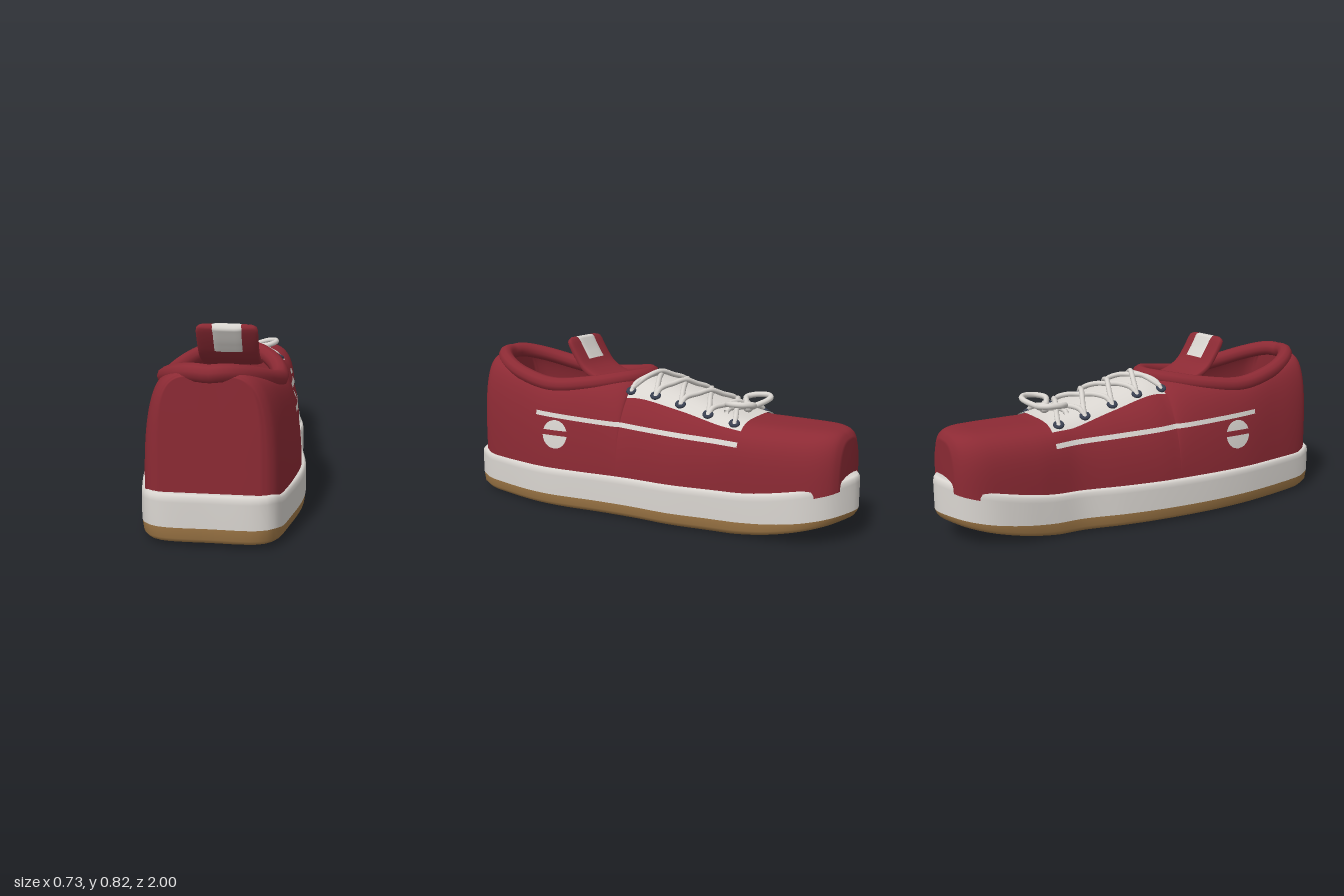
import * as THREE from 'three';
import { mergeGeometries, mergeVertices } from 'three/addons/utils/BufferGeometryUtils.js';

const material = (name, color) => new THREE.MeshStandardMaterial({ name, color, side: THREE.DoubleSide });

// Grid surface from f(u, v) -> [x, y, z], u and v in 0..1
function grid(nu, nv, f, flip = false) {
  const pos = [], idx = [];
  for (let i = 0; i <= nu; i++) for (let j = 0; j <= nv; j++) pos.push(...f(i / nu, j / nv));
  for (let i = 0; i < nu; i++) for (let j = 0; j < nv; j++) {
    const a = i * (nv + 1) + j, b = a + nv + 1;
    if (flip) idx.push(a, a + 1, b, b, a + 1, b + 1);
    else idx.push(a, b, a + 1, b, b + 1, a + 1);
  }
  const g = new THREE.BufferGeometry();
  g.setAttribute('position', new THREE.Float32BufferAttribute(pos, 3));
  g.setIndex(idx);
  return g;
}

// Join pieces and share coincident points for smooth normals
function weld(...parts) {
  const g = mergeVertices(mergeGeometries(parts), 1e-5);
  g.computeVertexNormals();
  return g;
}

// Upper, toe to heel: z, width at -x, width at +x, top height, squareness
const UPPER = [
  [-0.955, 0.12, 0.12, 0.45, 3], [-0.935, 0.16, 0.16, 0.482, 3.2], [-0.88, 0.2, 0.2, 0.498, 3.5],
  [-0.8, 0.222, 0.222, 0.5, 3.8], [-0.6, 0.243, 0.243, 0.5, 4], [-0.5, 0.245, 0.245, 0.503, 4],
  [-0.4, 0.25, 0.258, 0.53, 3.2], [-0.2, 0.295, 0.29, 0.585, 2.6], [0, 0.328, 0.295, 0.635, 2.4],
  [0.1, 0.335, 0.302, 0.645, 2.2], [0.3, 0.343, 0.325, 0.615, 2], [0.5, 0.338, 0.338, 0.597, 2],
  [0.7, 0.31, 0.315, 0.632, 2.1], [0.85, 0.285, 0.285, 0.675, 2.6], [0.92, 0.262, 0.262, 0.697, 3],
  [0.95, 0.235, 0.235, 0.703, 3.5], [0.965, 0.2, 0.2, 0.69, 5],
];

// Smooth lookup in the table
function look(z, col) {
  const n = UPPER.length;
  let i = 0;
  while (i < n - 2 && UPPER[i + 1][0] < z) i++;
  const slope = k => {
    const a = UPPER[Math.max(k - 1, 0)], b = UPPER[Math.min(k + 1, n - 1)];
    return (b[col] - a[col]) / (b[0] - a[0]);
  };
  const A = UPPER[i], B = UPPER[i + 1], h = B[0] - A[0];
  const t = THREE.MathUtils.clamp((z - A[0]) / h, 0, 1), t2 = t * t, t3 = t2 * t;
  return (2 * t3 - 3 * t2 + 1) * A[col] + (t3 - 2 * t2 + t) * h * slope(i)
    + (3 * t2 - 2 * t3) * B[col] + (t3 - t2) * h * slope(i + 1);
}

const MID = 0.525, LEN = 0.43, WID = 0.24; // collar ellipse
const rise = z => Math.pow(Math.max(0, (-0.5 - z) / 0.5), 1.5);
const heelLift = z => THREE.MathUtils.smoothstep(z, 0.88, 0.97);
const soleTop = z => 0.2 + 0.095 * rise(z) + 0.02 * heelLift(z);
const seamY = z => 0.07 + 0.07 * rise(z) + 0.015 * heelLift(z);
const soleBottom = z => 0.095 * rise(z) + 0.008 * heelLift(z);
const baseY = z => soleTop(z) - 0.04;
const openX = z => WID * Math.sqrt(Math.max(0, 1 - ((z - MID) / LEN) ** 2));
const width = (s, z) => look(z, s > 0 ? 2 : 1);

// Point on the upper by angle, by height, or by x on the vamp
function upperPoint(s, z, t) {
  const e = 2 / look(z, 4), xe = openX(z), b = baseY(z);
  const c = Math.max(0, Math.cos(t)) ** e, k = Math.sin(t) ** e;
  return [s * (xe + (width(s, z) - xe) * c), b + (look(z, 3) - b) * k, z];
}
function sidePoint(s, z, y, lift) {
  const p = look(z, 4), k = Math.min(1, (y - baseY(z)) / (look(z, 3) - baseY(z)));
  return [s * (openX(z) + (width(s, z) - openX(z)) * (1 - k ** p) ** (1 / p) + lift), y, z];
}
function vampPoint(x, z, lift) {
  const p = look(z, 4), r = Math.min(1, Math.abs(x) / width(Math.sign(x) || 1, z)), b = baseY(z);
  return [x, b + (look(z, 3) - b) * (1 - r ** p) ** (1 / p) + lift, z];
}

function upperGeometry() {
  const stations = [];
  for (let i = 0; i < 44; i++) stations.push(-0.955 + 1.05 * (i / 44) ** 1.4);
  for (let i = 0; i <= 44; i++) stations.push(MID - LEN * Math.cos(Math.PI * i / 44));
  stations.push(0.96, 0.965);
  const N = stations.length - 1, parts = [];
  for (const s of [1, -1]) {
    parts.push(grid(N, 26, (u, v) => upperPoint(s, stations[Math.round(u * N)], v * Math.PI / 2), s > 0));
    for (const z of [-0.955, 0.965]) {
      parts.push(grid(26, 1, (u, v) => {
        const p = upperPoint(s, z, u * Math.PI / 2);
        return v ? [0, baseY(z), z] : p;
      }, (s > 0) === (z < 0)));
    }
  }
  return weld(...parts);
}

// Sole outline, from the heel along +x to the toe and back along -x
const OUTLINE = [
  [0.2, 0.995], [0.255, 0.965], [0.285, 0.9], [0.31, 0.8], [0.35, 0.6], [0.358, 0.45], [0.33, 0.2], [0.316, 0],
  [0.313, -0.2], [0.283, -0.4], [0.265, -0.55], [0.255, -0.7], [0.225, -0.83], [0.165, -0.92], [0.08, -0.975], [0, -1],
  [-0.08, -0.975], [-0.165, -0.92], [-0.225, -0.83], [-0.255, -0.7], [-0.265, -0.55], [-0.27, -0.4], [-0.318, -0.2],
  [-0.35, 0], [-0.367, 0.25], [-0.362, 0.45], [-0.345, 0.6], [-0.31, 0.8], [-0.285, 0.9], [-0.255, 0.965], [-0.2, 0.995], [0, 1],
];
const outline = new THREE.CatmullRomCurve3(OUTLINE.map(([x, z]) => new THREE.Vector3(x, 0, z)), true).getSpacedPoints(140);

// Stack of outline rings: [height rule, inset]
function soleGeometry(levels) {
  const n = levels.length - 1;
  return weld(grid(140, n, (u, v) => {
    const p = outline[Math.round(u * 140)], [y, inset] = levels[Math.round(v * n)];
    return [p.x * (1 - Math.min(1, inset / 0.33)), y(p.z), p.z * (1 - inset)];
  }));
}

const tube = (pts, r, closed = false, n = 40) => new THREE.TubeGeometry(
  new THREE.CatmullRomCurve3(pts.map(p => new THREE.Vector3(...p)), closed), n, r, 10, closed);

// Curved padded strip along the tongue path
const tonguePath = new THREE.CatmullRomCurve3([[0.05, 0.6], [0.18, 0.605], [0.3, 0.625], [0.385, 0.67], [0.435, 0.735], [0.475, 0.805]]
  .map(([z, y]) => new THREE.Vector3(0, y, z)));
function tongueStrip(start, halfWidth, thick, shift) {
  return weld(grid(30, 32, (u, v) => {
    const k = start + (1 - start) * Math.min(1, u / 0.94);
    const c = tonguePath.getPointAt(k), d = tonguePath.getTangentAt(k);
    const end = Math.max(0, (u - 0.9) / 0.1), a = v * Math.PI * 2;
    const th = thick * Math.sqrt(Math.max(0, 1 - end * end)), ext = u > 0.94 ? (u - 0.94) * 0.25 : 0;
    const co = Math.cos(a), si = Math.sin(a), e = 0.5;
    const x = Math.sign(co) * Math.abs(co) ** e * halfWidth(k, end), h = Math.sign(si) * Math.abs(si) ** e * th;
    return [x + shift, c.y + d.y * ext + d.z * h, c.z + d.z * ext - d.y * h];
  }));
}

export function createModel() {
  const red = material('red canvas', 0x8c2a34), white = material('off white', 0xd9d5d0);
  const gum = material('gum rubber', 0xa27a48), navy = material('navy', 0x3a4152);
  const shoe = new THREE.Group();
  shoe.name = 'shoe';
  const add = (name, geo, mat) => {
    const m = new THREE.Mesh(geo, mat);
    m.name = name;
    shoe.add(m);
    return m;
  };

  // Sole
  add('outsole', soleGeometry([[soleBottom, 1], [soleBottom, 0.09], [soleBottom, 0.045],
    [z => soleBottom(z) + 0.012, 0.018], [z => soleBottom(z) + 0.03, 0.005], [seamY, 0]]), gum);
  add('midsole', soleGeometry([[seamY, 0], [z => soleTop(z) - 0.03, 0], [z => soleTop(z) - 0.01, 0.002],
    [soleTop, 0.01], [soleTop, 0.03], [() => 0.2, 1]]), white);
  const insole = add('insole', new THREE.CircleGeometry(1, 48).rotateX(-Math.PI / 2).scale(0.265, 1, 0.43), navy);
  insole.position.set(0, 0.235, 0.52);

  // Upper and padded collar
  add('upper', upperGeometry(), red);
  const rim = [];
  for (let i = 0; i < 40; i++) {
    const a = i / 40 * Math.PI * 2, z = MID + LEN * Math.sin(a);
    rim.push([WID * Math.cos(a), look(z, 3), z]);
  }
  add('collar', tube(rim, 0.038, true, 100), red);

  // Tongue with its wrapped tab
  add('tongue', tongueStrip(0, (k, end) => 0.137 - 0.04 * end * end, 0.019, 0.003), red);
  add('tongueTab', tongueStrip(0.76, () => 0.073, 0.023, 0.006), white);

  // Lacing panel
  add('lacePanel', weld(grid(40, 40, (u, v) => vampPoint(0.19 * (2 * v - 1), -0.51 + 0.61 * u, 0.007))), white);

  // Side stripes and split round patches
  for (const s of [1, -1]) {
    add('sideStripe', weld(grid(60, 2, (u, v) => {
      const z = 0.55 - 1.06 * u;
      return sidePoint(s, z, 0.467 - 0.05 * u + 0.022 * (v - 0.5), 0.006);
    }, s < 0)), white);
    for (const [from, to] of [[0.02, 0.07], [-0.07, -0.005]]) {
      add('sidePatch', weld(grid(10, 14, (u, v) => {
        const h = from + (to - from) * v;
        return sidePoint(s, 0.43 + (2 * u - 1) * Math.sqrt(Math.max(0, 0.0049 - h * h)), 0.37 + h, 0.006);
      }, s > 0)), white);
    }
  }

  // Eyelets and crossed laces
  const rows = [-0.465, -0.33, -0.185, -0.05, 0.085];
  const up = new THREE.Vector3(0, 0, 1);
  rows.forEach((z, i) => {
    for (const s of [1, -1]) {
      const ring = add('eyelet', new THREE.TorusGeometry(0.017, 0.009, 8, 20), navy);
      ring.position.set(...vampPoint(s * 0.165, z, 0.01));
      ring.quaternion.setFromUnitVectors(up, new THREE.Vector3(s * 0.55, 1, -0.25).normalize());
      if (i === rows.length - 1) continue;
      const over = s > 0 ? 0.034 : 0.016, dz = rows[i + 1] - z;
      const path = [[-1.1, 0, 0.005], [-0.9, 0.06, 0.02], [-0.45, 0.28, 0.02], [0, 0.5, over],
        [0.45, 0.72, 0.02], [0.9, 0.94, 0.02], [1.1, 1, 0.005]];
      add('lace', tube(path.map(([x, t, l]) => vampPoint(s * x * 0.15, z + t * dz, l)), 0.0125), white);
    }
  });
  add('topLace', tube([-1, -0.5, 0, 0.5, 1].map(x =>
    vampPoint(x * 0.16, 0.085 - 0.045 * (1 - x * x), 0.018)), 0.0125), white);

  // Bow
  const knot = add('bowKnot', new THREE.SphereGeometry(0.025, 16, 12), white);
  knot.position.set(0, 0.543, -0.455);
  for (const s of [1, -1]) {
    add('bowLoop', tube([[0, 0.545, -0.46], [0.045, 0.56, -0.505], [0.1, 0.575, -0.522], [0.14, 0.58, -0.495],
      [0.142, 0.578, -0.44], [0.105, 0.57, -0.4], [0.05, 0.56, -0.42]].map(([x, y, z]) => [s * x, y, z]), 0.0135, true, 60), white);
    add('bowTail', tube([[0, 0.545, -0.455], [0.05, 0.548, -0.43], [0.09, 0.548, -0.405], [0.12, 0.535, -0.4]]
      .map(([x, y, z]) => [s * x, y, z]), 0.0125), white);
  }
  return shoe;
}
